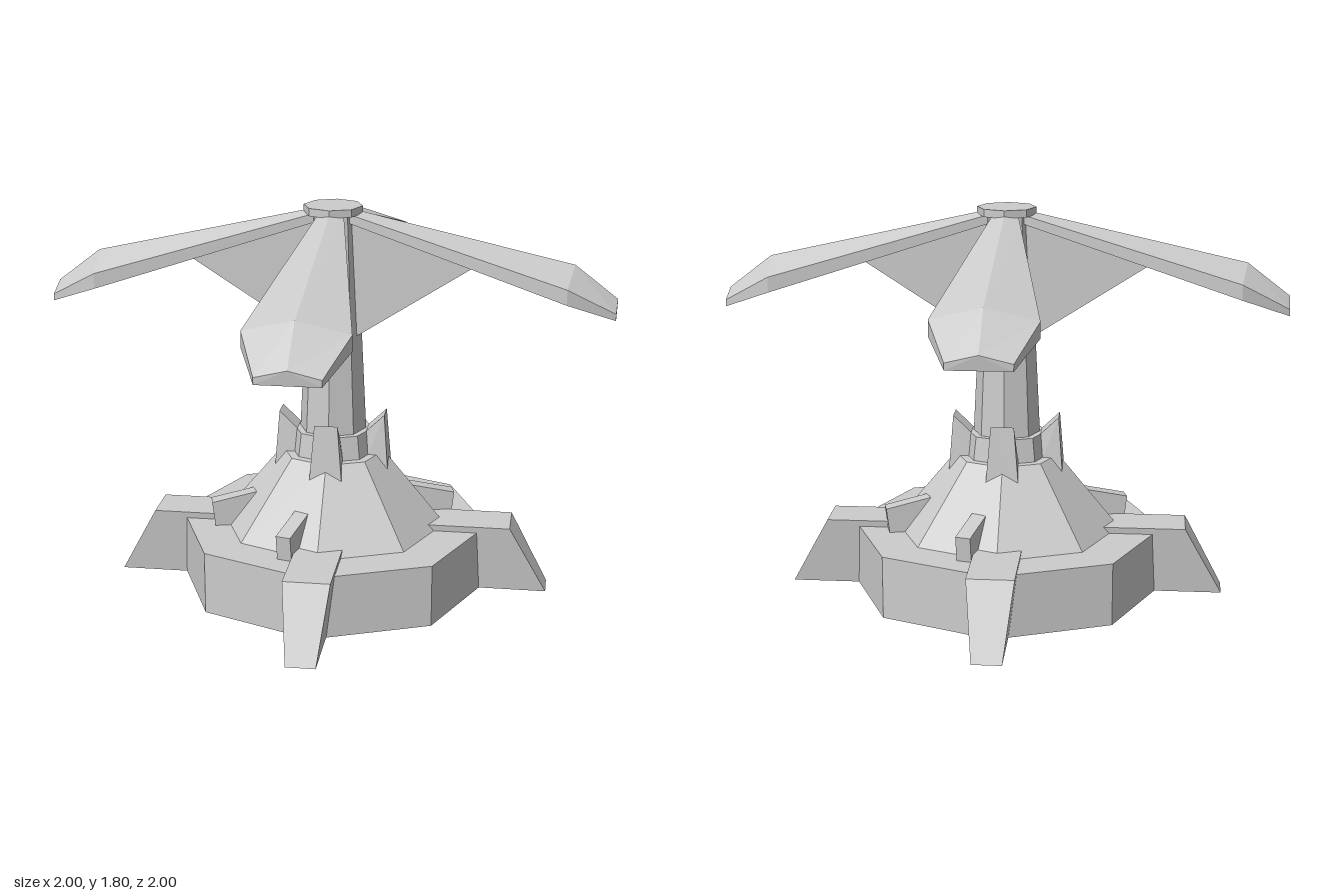
import * as THREE from 'three';

const material = new THREE.MeshStandardMaterial({ color: 0xcccccc, flatShading: true });

// Closed solid from rings of equal point count, capped at both ends
function loft(rings) {
  const pos = [];
  const tri = (a, b, c) => pos.push(...a, ...b, ...c);
  for (let r = 0; r < rings.length - 1; r++) {
    const a = rings[r], b = rings[r + 1], n = a.length;
    for (let i = 0; i < n; i++) {
      const j = (i + 1) % n;
      tri(a[i], a[j], b[j]);
      tri(a[i], b[j], b[i]);
    }
  }
  const first = rings[0], last = rings[rings.length - 1];
  for (let i = 1; i < first.length - 1; i++) {
    tri(first[0], first[i + 1], first[i]);
    tri(last[0], last[i], last[i + 1]);
  }
  const g = new THREE.BufferGeometry();
  g.setAttribute('position', new THREE.Float32BufferAttribute(pos, 3));
  g.computeVertexNormals();
  return g;
}

// Side profile (counter-clockwise) given a constant thickness
const slab = (profile, half) => loft([-half, half].map(z => profile.map(([x, y]) => [x, y, z])));

export function createModel() {
  const model = new THREE.Group();

  function add(name, geometry, angle = 0) {
    const mesh = new THREE.Mesh(geometry, material);
    mesh.name = name;
    mesh.rotation.y = angle;
    model.add(mesh);
  }
  function octagon(name, rTop, rBottom, y0, y1) {
    const g = new THREE.CylinderGeometry(rTop, rBottom, y1 - y0, 8);
    g.translate(0, (y0 + y1) / 2, 0);
    add(name, g);
  }

  // Central stack
  octagon('base', 0.73, 0.73, 0, 0.29);
  octagon('cone', 0.24, 0.53, 0.29, 0.64);
  octagon('collar', 0.185, 0.2, 0.64, 0.75);
  octagon('column', 0.105, 0.16, 0.64, 1.77);
  octagon('hubCap', 0.135, 0.135, 1.765, 1.8);

  // Blade: sections of [ridge reach, edge reach, half width, ridge y, edge y, bottom y]
  const blade = loft([
    [0.06, 0.06, 0.055, 1.79, 1.775, 1.735],
    [1.09, 1.06, 0.226, 1.56, 1.5, 1.43],
    [1.285, 1.277, 0.137, 1.41, 1.375, 1.345],
  ].map(([ur, u, w, ridge, edge, low]) => [
    [ur, ridge, 0], [u, edge, w], [u, low, w], [u, low, -w], [u, edge, -w],
  ]));

  // Triangular brace under each blade
  const fin = slab([[0.04, 1.2], [0.11, 1.2], [0.67, 1.56], [0.04, 1.755]], 0.043);

  // Foot, wider on top, with a sloping outer end
  const foot = loft([[0.4, 0.4], [0.84, 1.014]].map(([top, low]) => [
    [top, 0.32, -0.106], [top, 0.32, 0.106], [low, 0, 0.067], [low, 0, -0.067],
  ]));

  // Pointed claw around the collar, slightly flared downward
  const claw = loft([-1, 1].map(s => [
    [0.12, 0.5, 0.08 * s], [0.27, 0.5, 0.08 * s], [0.245, 0.83, 0.053 * s], [0.12, 0.71, 0.053 * s],
  ]));

  for (let k = 0; k < 4; k++) {
    const angle = Math.PI / 4 + k * Math.PI / 2;
    add('blade', blade, angle);
    add('bladeBrace', fin, angle);
    add('foot', foot, angle);
    add('claw', claw, angle);
  }

  // Small blocks on the front and back slopes of the cone
  const block = slab([[0.3, 0.28], [0.56, 0.28], [0.575, 0.405], [0.37, 0.45], [0.3, 0.45]], 0.035);
  for (const degrees of [60, 120, -60, -120]) {
    add('coneBlock', block, THREE.MathUtils.degToRad(degrees));
  }

  return model;
}
